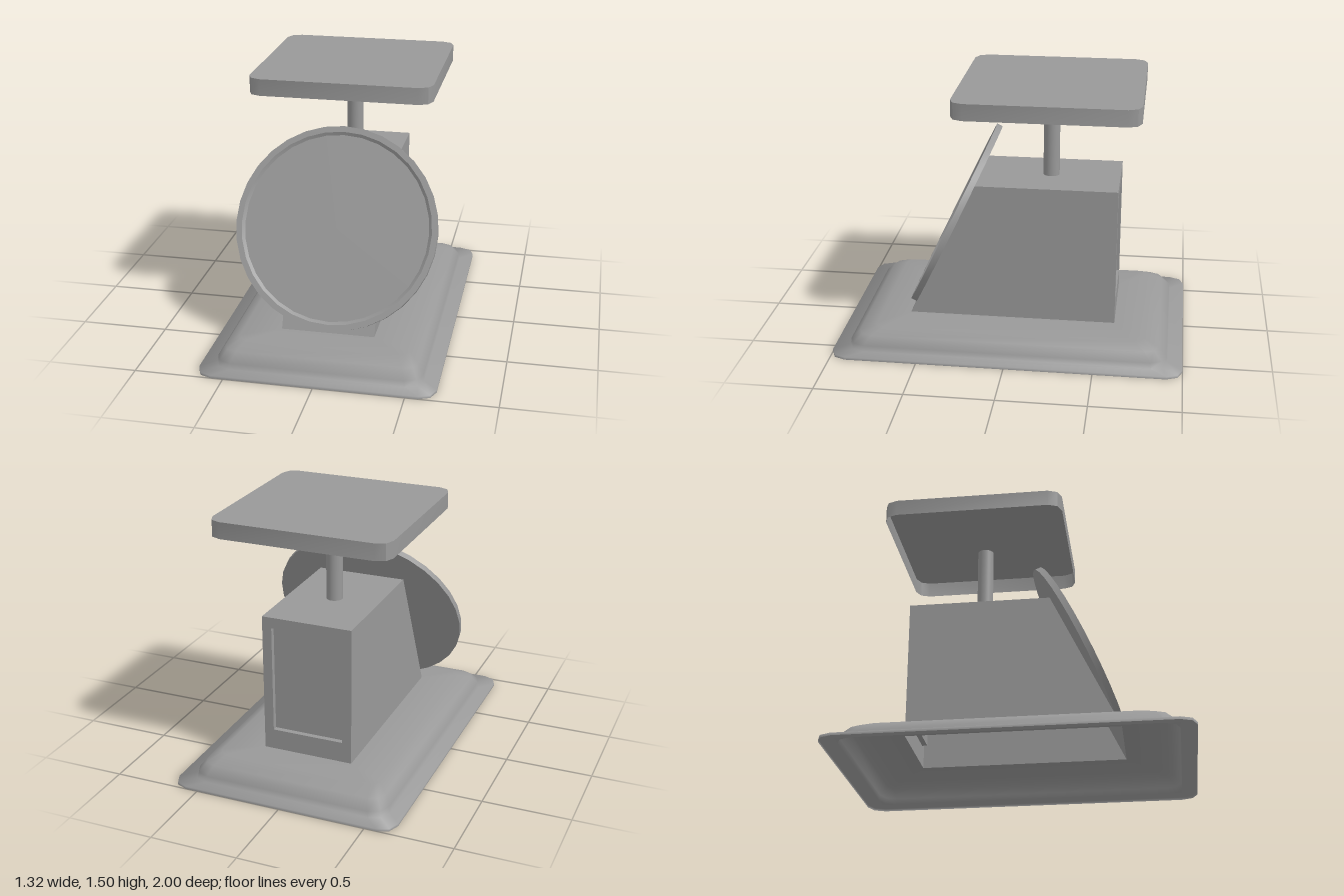
import * as THREE from 'three';
import { toCreasedNormals } from 'three/addons/utils/BufferGeometryUtils.js';

const V = (x, y, z) => new THREE.Vector3(x, y, z);
const material = new THREE.MeshStandardMaterial({ color: 0x999999, side: THREE.DoubleSide });

function mesh(name, geometry, crease = 0.6) {
  const m = new THREE.Mesh(toCreasedNormals(geometry, crease), material);
  m.name = name;
  return m;
}

// Skin a list of rings; optionally leave the strip open or cap the last ring with a fan
function loft(rings, { closed = true, cap = false } = {}) {
  const pos = [];
  const tri = (...pts) => pts.forEach((p) => pos.push(p.x, p.y, p.z));
  for (let i = 0; i < rings.length - 1; i++) {
    const a = rings[i], b = rings[i + 1], n = a.length;
    for (let j = 0; j < (closed ? n : n - 1); j++) {
      const k = (j + 1) % n;
      tri(a[j], a[k], b[k]);
      tri(a[j], b[k], b[j]);
    }
  }
  if (cap) {
    const r = rings[rings.length - 1];
    for (let j = 1; j < r.length - 1; j++) tri(r[0], r[j], r[j + 1]);
  }
  const g = new THREE.BufferGeometry();
  g.setAttribute('position', new THREE.Float32BufferAttribute(pos, 3));
  return g;
}

// Horizontal rounded rectangle, two segments per corner, counter-clockwise from above
function roundedRing(hx, hz, r, y, cz = 0) {
  const pts = [];
  for (let c = 0; c < 4; c++) {
    const sx = c === 0 || c === 3 ? 1 : -1, sz = c < 2 ? -1 : 1;
    for (let s = 0; s <= 2; s++) {
      const a = (c + s / 2) * Math.PI / 2;
      pts.push(V(sx * (hx - r) + r * Math.cos(a), y, cz + sz * (hz - r) - r * Math.sin(a)));
    }
  }
  return pts;
}

// Upright rectangle on the back of the body, counter-clockwise from behind
const backRing = (hx, y0, y1, z) => [V(hx, y0, z), V(-hx, y0, z), V(-hx, y1, z), V(hx, y1, z)];

export function createModel() {
  const group = new THREE.Group();

  // Hollow base, smooth all over: thin flange, rounded dome, opening under the body
  group.add(mesh('base', loft([
    roundedRing(0.66, 1.0, 0.09, 0),
    roundedRing(0.66, 1.0, 0.09, 0.015),
    roundedRing(0.58, 0.915, 0.09, 0.015),
    roundedRing(0.575, 0.91, 0.09, 0.05),
    roundedRing(0.54, 0.86, 0.075, 0.098),
    roundedRing(0.48, 0.77, 0.05, 0.13),
    roundedRing(0.265, 0.6, 0.001, 0.13),
  ]), Math.PI));

  // Body: sides and top, sloping front, back with a recessed panel
  const W = 0.265, Y0 = 0.13, Y1 = 0.94, ZB = -0.6;
  const back = [V(W, Y0, ZB), V(W, Y1, ZB), V(-W, Y1, ZB), V(-W, Y0, ZB)];
  const front = [V(W, Y0, 0.6), V(W, Y1, 0.214), V(-W, Y1, 0.214), V(-W, Y0, 0.6)];
  const body = new THREE.Group();
  body.name = 'body';
  body.add(mesh('bodyShell', loft([front, back], { closed: false })));
  body.add(mesh('bodyFront', loft([front], { cap: true })));
  body.add(mesh('backPanel', loft([
    backRing(W, Y0, Y1, ZB),
    backRing(0.21, 0.25, 0.877, ZB),
    backRing(0.21, 0.25, 0.877, ZB + 0.03),
  ], { cap: true })));
  group.add(body);

  // Tilted round dial with a raised rim
  const profile = [[0, 0], [0.578, 0], [0.578, 0.035], [0.545, 0.035], [0.528, 0.023], [0, 0.023]]
    .map(([x, y]) => new THREE.Vector2(x, y));
  const dial = mesh('dial', new THREE.LatheGeometry(profile, 32));
  dial.position.set(0, 0.663, 0.346);
  dial.rotation.x = 1.126;
  group.add(dial);

  // Stem carrying the tray
  const stem = mesh('stem', new THREE.CylinderGeometry(0.047, 0.047, 0.475, 24));
  stem.position.set(0, 1.1675, -0.2);
  group.add(stem);

  // Weighing tray, open underneath
  group.add(mesh('tray', loft([
    roundedRing(0.517, 0.517, 0.075, 1.405, -0.207),
    roundedRing(0.517, 0.517, 0.075, 1.5, -0.207),
  ], { cap: true })));

  return group;
}
